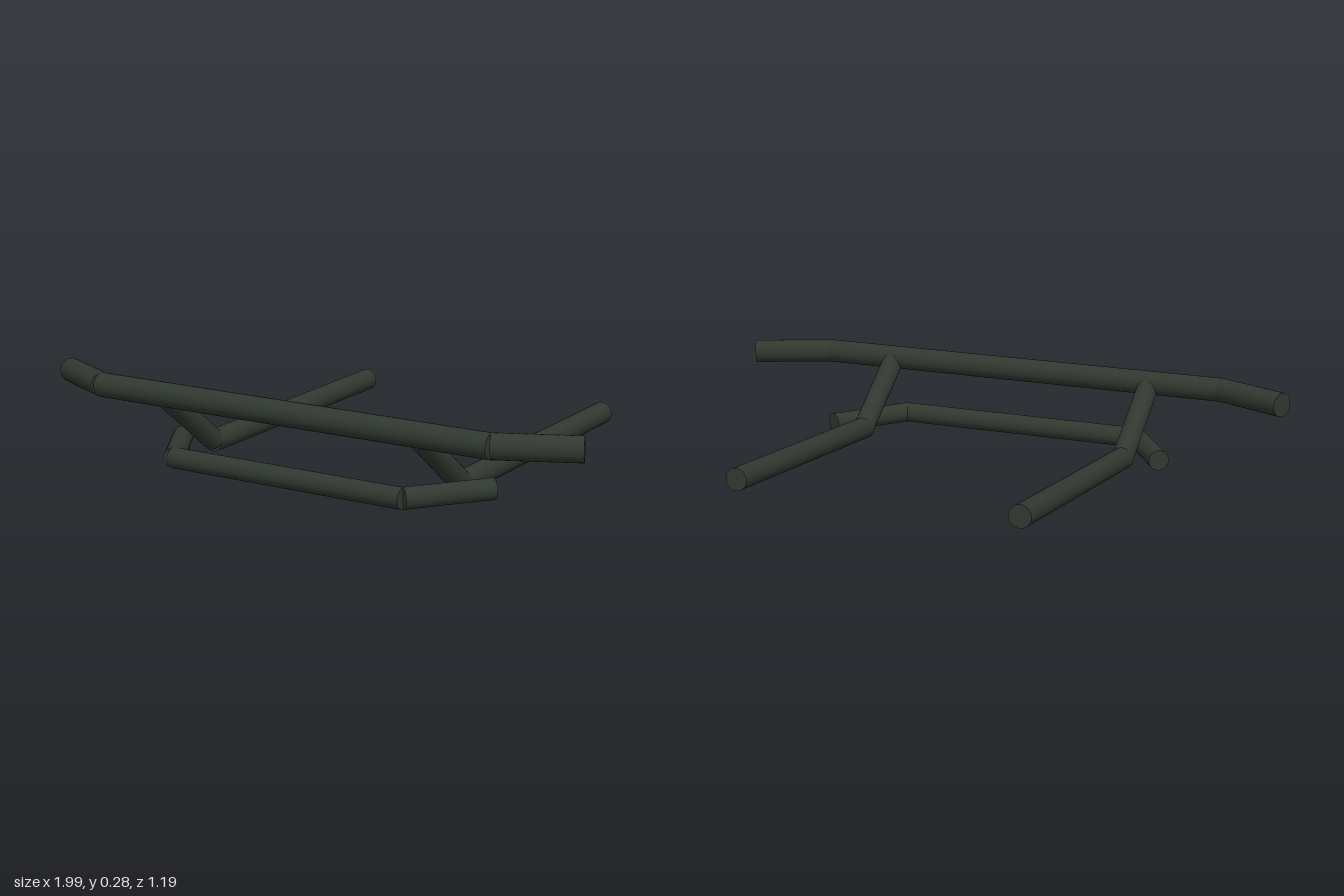
import * as THREE from 'three';

// Straight capped pipe between two points
function pipe(name, from, to, radius, material) {
  const a = new THREE.Vector3(...from);
  const b = new THREE.Vector3(...to);
  const dir = b.clone().sub(a);
  const mesh = new THREE.Mesh(new THREE.CylinderGeometry(radius, radius, dir.length(), 24), material);
  mesh.position.copy(a).add(b).multiplyScalar(0.5);
  mesh.quaternion.setFromUnitVectors(new THREE.Vector3(0, 1, 0), dir.normalize());
  mesh.name = name;
  return mesh;
}

export function createModel() {
  const group = new THREE.Group();
  group.name = 'bullBar';
  const paint = new THREE.MeshStandardMaterial({ color: 0x303830 });
  paint.name = 'dark green grey paint';

  // Cross bars
  group.add(pipe('upperBar', [-0.74, 0.24, 0.55], [0.74, 0.24, 0.55], 0.04, paint));
  group.add(pipe('lowerBar', [-0.44, 0.04, 0.557], [0.44, 0.04, 0.557], 0.034, paint));

  // Mirrored pipes on each side
  for (const [side, s] of [['left', 1], ['right', -1]]) {
    group.add(pipe(side + 'UpperWing', [s * 0.736, 0.24, 0.55], [s * 0.978, 0.24, 0.431], 0.04, paint));
    group.add(pipe(side + 'LowerWing', [s * 0.436, 0.04, 0.557], [s * 0.602, 0.04, 0.31], 0.034, paint));
    group.add(pipe(side + 'Brace', [s * 0.48, 0.04, 0.3], [s * 0.48, 0.24, 0.55], 0.036, paint));
    group.add(pipe(side + 'ChassisRail', [s * 0.48, 0.038, 0.305], [s * 0.48, 0.085, -0.594], 0.037, paint));
  }
  return group;
}
